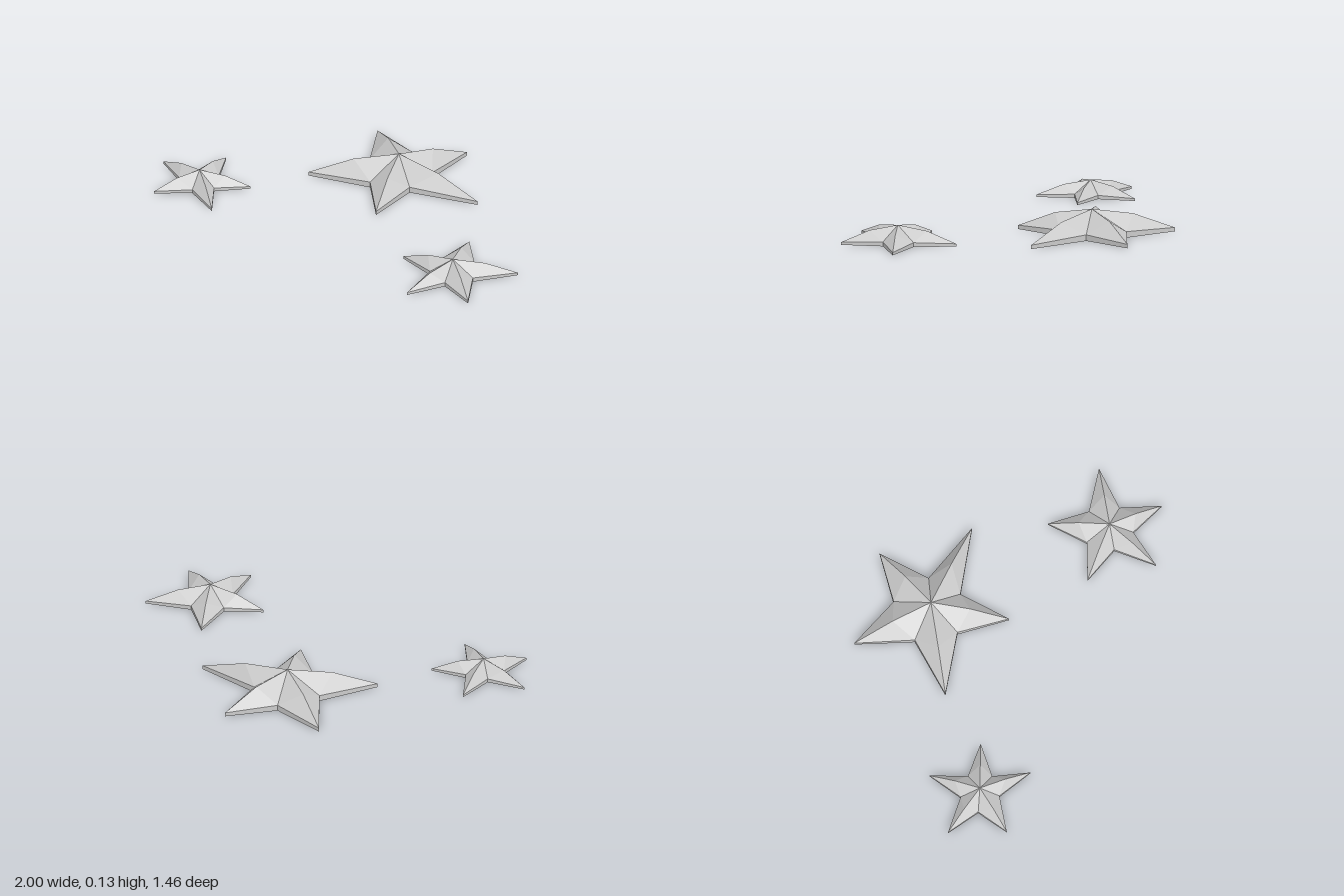
import * as THREE from 'three';

// Each star: apex, tips and the notch that follows each tip, as [x, z], clockwise from above.
const STARS = [
  {
    name: 'largeStar', center: [-0.185, -0.34],
    peak: 0.13, ridge: 0.1, notch: 0.031, tip: 0.02,
    tips: [[-0.135, -0.73], [0.275, -0.48], [0.042, -0.02], [-0.467, 0.013], [-0.572, -0.505]],
    notches: [[-0.07, -0.46], [-0.027, -0.285], [-0.187, -0.16], [-0.36, -0.29], [-0.28, -0.505]],
  },
  {
    name: 'mediumStar', center: [0.732, 0.03],
    peak: 0.09, ridge: 0.069, notch: 0.022, tip: 0.014,
    tips: [[0.934, -0.224], [0.998, 0.14], [0.747, 0.33], [0.458, 0.13], [0.547, -0.217]],
    notches: [[0.847, -0.007], [0.797, 0.13], [0.665, 0.122], [0.602, -0.005], [0.73, -0.107]],
  },
  {
    name: 'smallStar', center: [-0.737, 0.489],
    peak: 0.08, ridge: 0.061, notch: 0.019, tip: 0.012,
    tips: [[-0.542, 0.318], [-0.488, 0.604], [-0.8, 0.727], [-1, 0.513], [-0.838, 0.243]],
    notches: [[-0.633, 0.478], [-0.686, 0.574], [-0.82, 0.553], [-0.82, 0.435], [-0.713, 0.387]],
  },
];

function starGeometry({ center, peak, ridge, notch, tip, tips, notches }) {
  const positions = [];
  const at = ([x, z], y) => [x, y, z];
  const face = (...corners) => corners.forEach((c) => positions.push(...c));
  const apex = at(center, peak);
  const base = at(center, 0);

  // Vertical rim and flat underside along one outline edge
  const edge = (a, ya, b, yb) => {
    face(at(a, 0), at(a, ya), at(b, yb));
    face(at(a, 0), at(b, yb), at(b, 0));
    face(base, at(a, 0), at(b, 0));
  };

  tips.forEach((t, i) => {
    const before = notches[(i + 4) % 5];
    const after = notches[i];
    const top = at(t, tip);
    // The ridge of each arm bends halfway out
    const bend = at([(center[0] + t[0]) / 2, (center[1] + t[1]) / 2], ridge);
    face(apex, bend, at(before, notch));
    face(bend, top, at(before, notch));
    face(apex, at(after, notch), bend);
    face(bend, at(after, notch), top);
    edge(before, notch, t, tip);
    edge(t, tip, after, notch);
  });

  const geometry = new THREE.BufferGeometry();
  geometry.setAttribute('position', new THREE.Float32BufferAttribute(positions, 3));
  geometry.computeVertexNormals(); // unshared corners give flat facets
  return geometry;
}

export function createModel() {
  const group = new THREE.Group();
  group.name = 'stars';
  const grey = new THREE.MeshStandardMaterial({ color: 0xcccccc, flatShading: true });
  grey.name = 'light grey';
  for (const star of STARS) {
    const mesh = new THREE.Mesh(starGeometry(star), grey);
    mesh.name = star.name;
    group.add(mesh);
  }
  return group;
}
